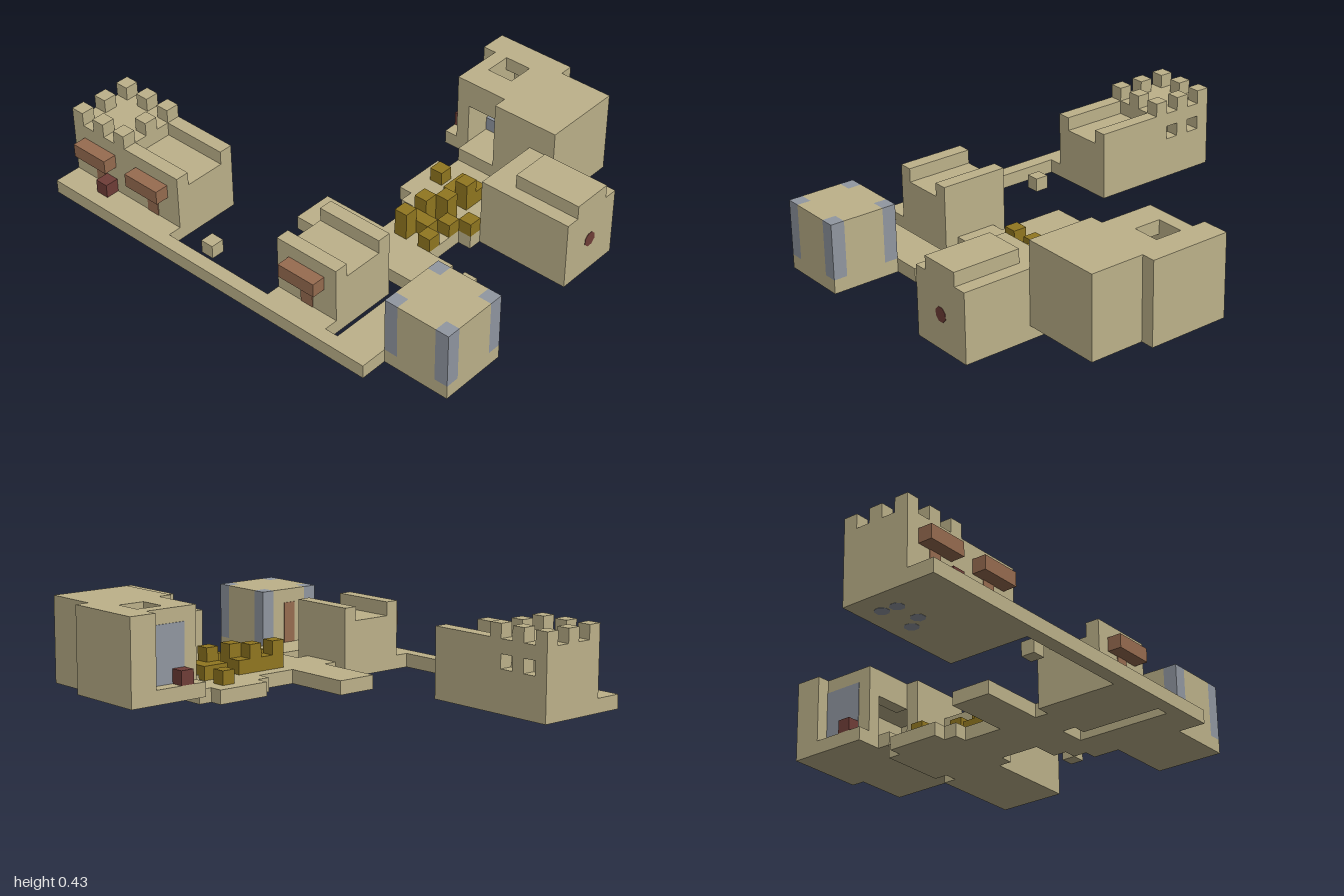
import * as THREE from 'three';

// Everything sits on a block grid of 27 x 7 x 33 cells
const U = 2 / 33;
const mat = (name, color) => {
  const m = new THREE.MeshStandardMaterial({ color });
  m.name = name;
  return m;
};

export function createModel() {
  const root = new THREE.Group();
  root.name = 'blockVillage';
  const sand = mat('sandstone', 0xbdb28a);
  const blue = mat('slateBlue', 0x9197a1);
  const gold = mat('ochre', 0x917720);
  const red = mat('darkRed', 0x703e38);
  const brown = mat('brownWood', 0x976c50);

  const group = (name) => {
    const g = new THREE.Group();
    g.name = name;
    root.add(g);
    return g;
  };
  // Box between grid lines: x0..x1, y0..y1, z0..z1
  const box = (g, name, m, x0, x1, y0, y1, z0, z1) => {
    const mesh = new THREE.Mesh(new THREE.BoxGeometry((x1 - x0) * U, (y1 - y0) * U, (z1 - z0) * U), m);
    mesh.position.set(((x0 + x1) / 2 - 13.5) * U, ((y0 + y1) / 2) * U, ((z0 + z1) / 2 - 16.5) * U);
    mesh.name = name;
    g.add(mesh);
    return mesh;
  };
  const disc = (g, name, m, x, y, z, r) => {
    const mesh = new THREE.Mesh(new THREE.CylinderGeometry(r * U, r * U, 0.004, 8).rotateY(Math.PI / 8), m);
    mesh.position.set((x - 13.5) * U, y * U, (z - 16.5) * U);
    mesh.name = name;
    g.add(mesh);
    return mesh;
  };

  // Ground paths, one block thick: x0, x1, z0, z1
  const paths = group('paths');
  for (const [x0, x1, z0, z1] of [
    [0, 1, 0, 28], [1, 2, 0, 10], [1, 2, 19, 24], [1, 8, 25, 28],
    [8, 11, 15, 26], [8, 10, 26, 27], [8, 9, 27, 28], [7, 8, 20, 23],
    [11, 14, 20, 24], [14, 15, 19, 25], [15, 19, 18, 25], [19, 20, 19, 24],
    [2, 3, 12, 13], [10, 11, 27, 28],
  ]) box(paths, 'path', sand, x0, x1, 0, 1, z0, z1);

  // Awning and door on the outer wall of a building
  const entrance = (g, z) => {
    box(g, 'awning', brown, 1, 2, 3, 4, z, z + 3);
    box(g, 'door', brown, 1.95, 2.02, 1, 3, z + 1, z + 2);
  };

  // Long hall with battlement tower
  const hall = group('towerHall');
  box(hall, 'floor', sand, 2, 7, 0, 1, 0, 10);
  box(hall, 'outerWall', sand, 2, 3, 1, 5, 0, 10);
  box(hall, 'innerWall', sand, 6, 7, 1, 3, 0, 10);
  box(hall, 'innerWallTop', sand, 6, 7, 4, 5, 0, 10);
  for (const [z0, z1] of [[0, 1], [2, 3], [4, 10]]) box(hall, 'windowPier', sand, 6, 7, 3, 4, z0, z1);
  box(hall, 'backWall', sand, 3, 6, 1, 5, 0, 1);
  box(hall, 'frontWall', sand, 3, 6, 1, 4, 9, 10);
  box(hall, 'towerRoof', sand, 3, 6, 4, 5, 1, 5);
  box(hall, 'hallRoof', sand, 3, 6, 3, 4, 5, 9);
  for (const x of [2, 4, 6]) for (const z of [0, 2, 4])
    if (x !== 4 || z !== 2) box(hall, 'merlon', sand, x, x + 1, 5, 6, z, z + 1);
  for (const [x, z] of [[5.5, 4.5], [5.5, 1.8], [4.4, 3.8], [4.4, 1.9]])
    disc(hall, 'floorSpot', blue, x, 0.02, z, 0.5);
  entrance(hall, 1);
  entrance(hall, 6);
  box(hall, 'redBlock', red, 1, 2, 1, 2, 3, 4);

  // Small house with gutter roof
  const cottage = group('gutterHouse');
  box(cottage, 'body', sand, 2, 7, 0, 4, 19, 24);
  for (const x of [2, 6]) box(cottage, 'parapet', sand, x, x + 1, 4, 5, 19, 24);
  entrance(cottage, 20);

  // House with blue corner pillars
  const corner = group('pillarHouse');
  box(corner, 'base', sand, 2, 7, 0, 1, 28, 33);
  box(corner, 'body', sand, 3, 6, 1, 5, 28, 33);
  for (const x of [2, 6]) {
    box(corner, 'sideWall', sand, x, x + 1, 1, 5, 29, 32);
    for (const z of [28, 32]) box(corner, 'cornerPillar', blue, x, x + 1, 1, 5, z, z + 1);
  }
  box(corner, 'door', brown, 4, 5, 1, 4, 27.95, 28.02);

  // Front house with raised roof, open towards the square
  const front = group('frontHouse');
  box(front, 'floor', sand, 15, 20, 0, 1, 25, 32);
  for (const x of [15, 19]) box(front, 'sideWall', sand, x, x + 1, 1, 5, 25, 32);
  box(front, 'frontWall', sand, 16, 19, 1, 5, 31, 32);
  box(front, 'roof', sand, 16, 19, 4, 5, 25, 31);
  box(front, 'raisedRoof', sand, 16, 19, 5, 6, 27, 32);
  box(front, 'hangingSign', gold, 17, 18, 3, 4, 26, 27);
  disc(front, 'roundWindow', red, 17.5, 2.5, 32, 0.54).rotation.x = Math.PI / 2;

  // Large house of two joined wings, one block above the ground
  const big = group('largeHouse');
  box(big, 'floorBack', sand, 21, 27, 1, 2, 17, 23);
  box(big, 'floorFront', sand, 20, 26, 1, 2, 22, 27);
  box(big, 'doorStep', sand, 20, 21, 1, 2, 19, 22);
  box(big, 'backCorner', sand, 25, 27, 2, 7, 17, 18);
  box(big, 'backWall', sand, 21, 27, 2, 6, 18, 19);
  box(big, 'backWindow', blue, 22, 25, 2, 6, 17.95, 18.02);
  box(big, 'redBlock', red, 22, 23, 2, 3, 17, 17.94);
  box(big, 'sideWall', sand, 26, 27, 2, 6, 19, 23);
  box(big, 'doorLintel', sand, 21, 22, 5, 6, 19, 22);
  box(big, 'frontWingWall', sand, 20, 21, 2, 6, 22, 27);
  box(big, 'frontWingWall', sand, 25, 26, 2, 6, 22, 27);
  box(big, 'frontWall', sand, 21, 25, 2, 6, 26, 27);
  // roof around a square skylight
  box(big, 'roofBack', sand, 21, 27, 6, 7, 18, 19);
  box(big, 'roofLeft', sand, 25, 27, 6, 7, 19, 21);
  box(big, 'roofRight', sand, 21, 23, 6, 7, 19, 21);
  box(big, 'roofMiddle', sand, 21, 27, 6, 7, 21, 23);
  box(big, 'roofFront', sand, 20, 26, 6, 7, 22, 27);
  box(big, 'blueBed', blue, 23, 24, 2, 3, 19, 21);
  box(big, 'ochreBed', gold, 24, 25, 2, 3, 19, 21);

  // Ochre stalls on the square: x, z, height in blocks
  const market = group('marketStalls');
  for (const [x, z, h] of [
    [11, 21, 2], [12, 21, 1], [13, 21, 2], [14, 21, 1], [12, 22, 1], [14, 22, 2],
    [11, 23, 1], [13, 23, 1], [14, 24, 1], [16, 21, 1], [17, 21, 1], [16, 22, 2],
    [17, 22, 1], [17, 19, 1],
  ]) box(market, 'stall', gold, x, x + 1, 1, 1 + h, z, z + 1);

  return root;
}
